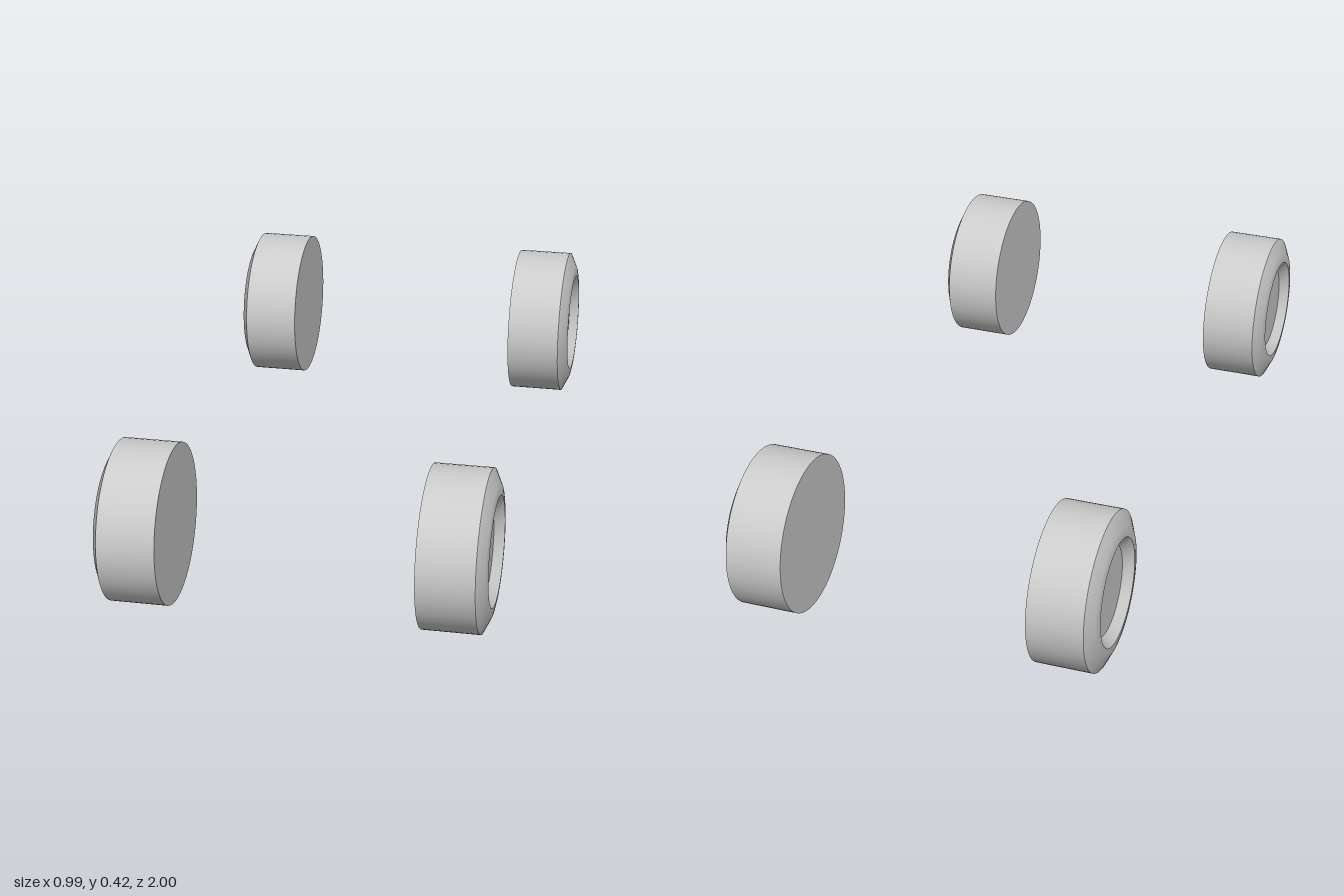
import * as THREE from 'three';
import { toCreasedNormals } from 'three/addons/utils/BufferGeometryUtils.js';

const RADIUS = 0.208;
const AXLE_Z = 0.792;

// Wheel profile as [radius, distance from the centre line], inner face to hub
const PROFILE = [
  [0, 0.324], [RADIUS, 0.324],                 // flat inner face
  [RADIUS, 0.473],                             // tread
  [0.17, 0.491], [0.155, 0.494], [0.141, 0.495], // bevelled sidewall
  [0.117, 0.47], [0, 0.47],                    // recessed rim and hub
];

export function createModel() {
  const model = new THREE.Group();
  model.name = 'wheels';
  const material = new THREE.MeshStandardMaterial({ color: 0xcccccc });
  const points = PROFILE.map(([r, d]) => new THREE.Vector2(r, d));

  for (const side of [1, -1]) {
    // Lay the lathe axis along x, hub facing outwards
    const lathe = new THREE.LatheGeometry(points, 64).rotateZ(-side * Math.PI / 2);
    const geometry = toCreasedNormals(lathe, 0.45);
    for (const end of [1, -1]) {
      const wheel = new THREE.Mesh(geometry, material);
      wheel.name = (end > 0 ? 'front' : 'rear') + (side > 0 ? 'Left' : 'Right') + 'Wheel';
      wheel.position.set(0, RADIUS, end * AXLE_Z);
      model.add(wheel);
    }
  }
  return model;
}
